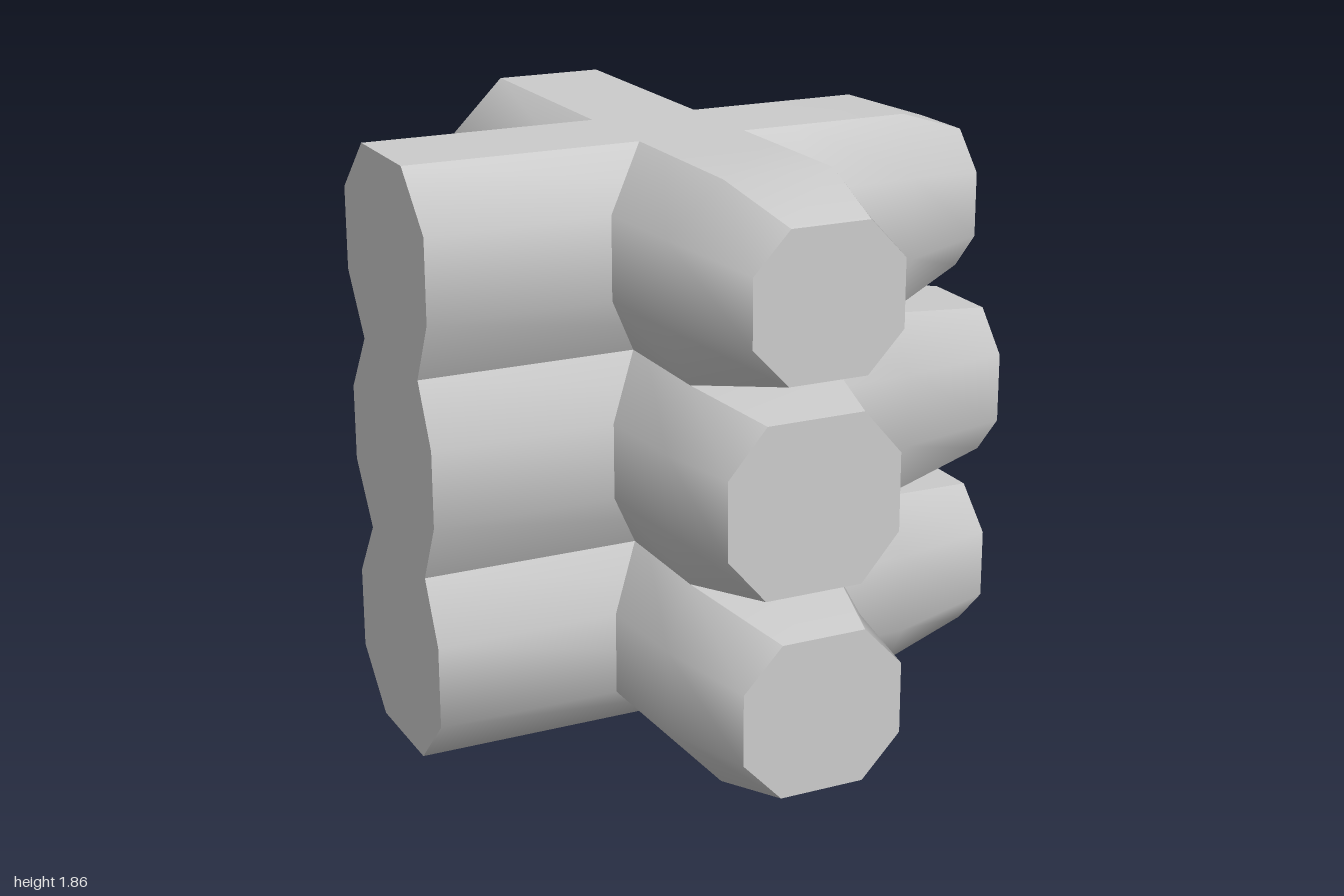
import * as THREE from 'three';

// Eight-sided section, counter-clockwise from the bottom right corner
const octagon = (l, r, bl, br, tl, tr, y0, lo, hi, y1) => [
  [br, y0], [r, lo], [r, hi], [tr, y1], [tl, y1], [l, hi], [l, lo], [bl, y0],
];

// Skin a list of rings; the side faces are smooth, top and bottom stay sharp
function loft(rings) {
  const pos = [], idx = [];
  for (const strip of [[0, 1, 2, 3], [3, 4], [4, 5, 6, 7], [7, 0]]) {
    const base = pos.length / 3, n = strip.length;
    for (const ring of rings) for (const k of strip) pos.push(...ring[k]);
    for (let i = 0; i < rings.length - 1; i++) {
      for (let j = 0; j < n - 1; j++) {
        const a = base + i * n + j, b = a + 1, c = a + n, d = c + 1;
        idx.push(a, b, d, a, d, c);
      }
    }
  }
  // Flat end caps
  [rings[0], rings[rings.length - 1]].forEach((ring, end) => {
    const base = pos.length / 3;
    ring.forEach((p) => pos.push(...p));
    for (let k = 1; k < 7; k++) {
      idx.push(base, base + (end ? k : k + 1), base + (end ? k + 1 : k));
    }
  });
  const geo = new THREE.BufferGeometry();
  geo.setAttribute('position', new THREE.Float32BufferAttribute(pos, 3));
  geo.setIndex(idx);
  geo.computeVertexNormals();
  return geo;
}

// Heights of each log: bottom, lower side corner, upper side corner, top
const layers = [
  [0, 0.17, 0.43, 0.62],
  [0.62, 0.81, 1.05, 1.24],
  [1.24, 1.43, 1.69, 1.86],
];

// Logs run along local z; "ends" are [position, left, right, bottom, top]
const stacks = [
  {
    name: 'frontToBackLog', turn: 0, start: -0.98, inner: 0.3,
    side: [-0.42, 0.275], outer: [-0.25, 0.1], waist: [-0.31, 0.16],
    bend: [0.68, 0.59],
    ends: [[0.98, -0.33, 0.19, 0.07, 0.555], [0.915, -0.35, 0.21, 0.67, 1.2], [0.98, -0.31, 0.17, 1.33, 1.78]],
  },
  {
    name: 'sideToSideLog', turn: Math.PI / 2, start: -1, inner: 0.28,
    side: [-0.295, 0.4], outer: [-0.125, 0.22], waist: [-0.2, 0.27],
    bend: [0.66, 0.58],
    ends: [[0.955, -0.22, 0.31, 0.085, 0.57], [1, -0.21, 0.3, 0.69, 1.18], [0.905, -0.18, 0.27, 1.33, 1.78]],
  },
];

function logGeometry(s, i) {
  const [y0, lo, hi, y1] = layers[i];
  const bottom = i === 0 ? s.outer : s.waist;
  const top = i === 2 ? s.outer : s.waist;
  const section = (inset) => octagon(s.side[0] + inset, s.side[1] - inset,
    ...bottom, ...top, y0, lo, hi, y1);
  const at = (pts, z) => pts.map(([x, y]) => [x, y, z]);

  // The taper starts at a different place on the outer and the waist flats
  const zb = s.bend[i === 0 ? 0 : 1], zt = s.bend[i === 2 ? 0 : 1];
  const bendZ = [zb, 0.62, 0.62, zt, zt, 0.62, 0.62, zb];
  const bend = section(0.02).map(([x, y], k) => [x, y, bendZ[k]]);

  // Trimmed end, close to a regular octagon
  const [z, l, r, b, t] = s.ends[i];
  const cx = (r - l) * (i === 1 ? 0.22 : 0.24), cy = (t - b) * 0.27;
  const end = octagon(l, r, l + cx, r - cx, l + cx, r - cx, b, b + cy, t - cy, t);

  return loft([at(section(0), s.start), at(section(0), s.inner), bend, at(end, z)]);
}

export function createModel() {
  const group = new THREE.Group();
  group.name = 'logCorner';
  const material = new THREE.MeshStandardMaterial({ color: 0xcccccc });
  // Two stacks of three logs crossing each other
  for (const s of stacks) {
    layers.forEach((_, i) => {
      const log = new THREE.Mesh(logGeometry(s, i), material);
      log.name = `${s.name}${i + 1}`;
      log.rotation.y = s.turn;
      group.add(log);
    });
  }
  return group;
}
